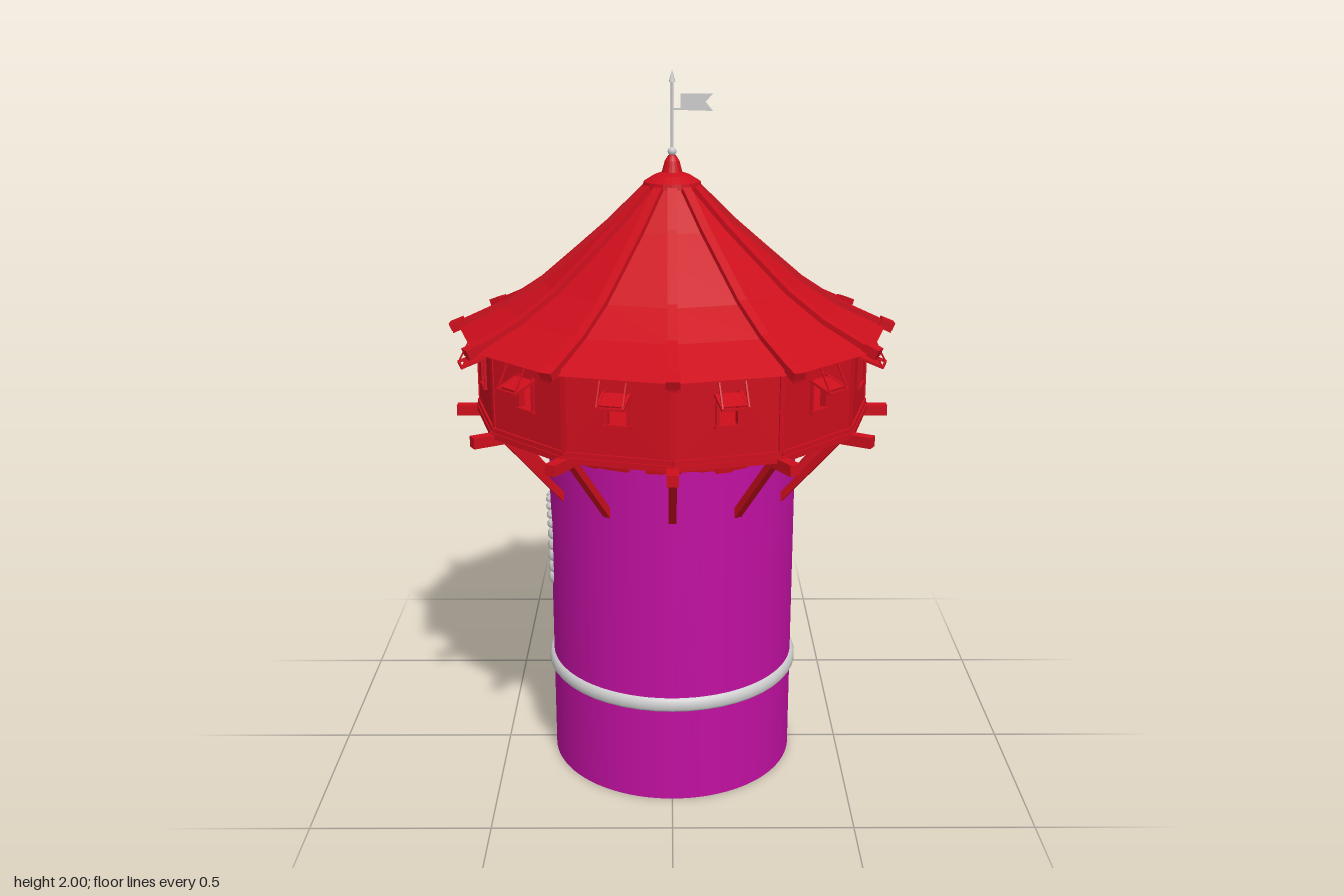
import * as THREE from 'three';

const RED = new THREE.MeshStandardMaterial({ color: 0xcc0e1c, flatShading: true, side: THREE.DoubleSide });
const PURPLE = new THREE.MeshStandardMaterial({ color: 0xc010a0, side: THREE.DoubleSide });
const GREY = new THREE.MeshStandardMaterial({ color: 0xcccccc, side: THREE.DoubleSide });

const SIDES = 12, STEP = Math.PI * 2 / SIDES;
const R = 0.355, R_IN = 0.295, TOP = 1.06;   // tower wall
const GALLERY = 0.55;                        // gallery corner radius
const APOTHEM = GALLERY * Math.cos(STEP / 2);

// Arched niches: angle around the tower and height of the foot
const SPRING = 0.17, ARCH = 0.07, HALF = Math.PI / 18;
const NICHES = [
  { name: 'doorway', a: Math.PI, y: 0 },
  { name: 'backWindow', a: Math.PI, y: 0.55 },
  { name: 'sideWindow', a: Math.PI * 1.5, y: 0.55 },
];

const v2 = (pts) => pts.map(([x, y]) => new THREE.Vector2(x, y));

function add(parent, name, geo, mat, x = 0, y = 0, z = 0) {
  const m = new THREE.Mesh(geo, mat);
  m.name = name;
  m.position.set(x, y, z);
  parent.add(m);
  return m;
}

// Group whose local +z points outwards at angle a
function spoke(parent, name, a) {
  const g = new THREE.Group();
  g.name = name;
  g.rotation.y = a;
  parent.add(g);
  return g;
}

// Bar between two (radius, height) points in a spoke
function bar(parent, name, [r0, y0], [r1, y1], w, h, x = 0, mat = RED) {
  const len = Math.hypot(r1 - r0, y1 - y0);
  const m = add(parent, name, new THREE.BoxGeometry(w, h, len), mat, x, (y0 + y1) / 2, (r0 + r1) / 2);
  m.rotation.x = -Math.atan2(y1 - y0, r1 - r0);
  return m;
}

// Outer wall in narrow columns, leaving the arched openings free
function wallGeometry() {
  const pos = [], nor = [], cols = 144;
  const put = (a, y) => {
    pos.push(Math.sin(a) * R, y, Math.cos(a) * R);
    nor.push(Math.sin(a), 0, Math.cos(a));
  };
  const archTop = (n, a) =>
    n.y + SPRING + ARCH * Math.sqrt(Math.max(0, 1 - ((a - n.a) / HALF) ** 2));
  for (let i = 0; i < cols; i++) {
    const a0 = i / cols * Math.PI * 2, a1 = (i + 1) / cols * Math.PI * 2;
    let lo0 = 0, lo1 = 0;
    const quad = (hi0, hi1) => {
      put(a0, lo0); put(a1, lo1); put(a1, hi1);
      put(a0, lo0); put(a1, hi1); put(a0, hi0);
    };
    for (const n of NICHES) {
      if (Math.abs((a0 + a1) / 2 - n.a) > HALF) continue;
      if (n.y > 0) quad(n.y, n.y);
      lo0 = archTop(n, a0);
      lo1 = archTop(n, a1);
    }
    quad(TOP, TOP);
  }
  const g = new THREE.BufferGeometry();
  g.setAttribute('position', new THREE.Float32BufferAttribute(pos, 3));
  g.setAttribute('normal', new THREE.Float32BufferAttribute(nor, 3));
  return g;
}

function buildTower(root) {
  const tower = new THREE.Group();
  tower.name = 'tower';
  root.add(tower);
  add(tower, 'outerWall', wallGeometry(), PURPLE);
  add(tower, 'innerWall', new THREE.CylinderGeometry(R_IN, R_IN, TOP, 48, 1, true), PURPLE, 0, TOP / 2);
  add(tower, 'wallFoot', new THREE.RingGeometry(R_IN, R, 48).rotateX(Math.PI / 2), PURPLE);

  // Stone band
  const band = v2([[0.35, 0.282], [0.362, 0.282], [0.368, 0.29], [0.368, 0.305], [0.362, 0.318], [0.35, 0.322]]);
  add(tower, 'stoneBand', new THREE.LatheGeometry(band, 48), GREY);

  // Bulging stones around each niche
  const stone = new THREE.LatheGeometry(
    v2([[0, -0.5], [0.8, -0.5], [0.97, -0.25], [1, 0], [0.97, 0.25], [0.8, 0.5], [0, 0.5]]), 10);
  for (const n of NICHES) {
    const g = spoke(tower, n.name, n.a);
    const place = (x, y, tilt, len) => {
      const z = Math.sqrt(R * R - x * x) - 0.022;
      const m = add(g, 'archStone', stone, GREY, x, y, z);
      m.scale.set(0.014, len, 0.035);
      m.rotation.z = tilt;
    };
    const rows = 5, arcs = 9, c = ARCH + 0.004;
    for (const s of [-1, 1])
      for (let i = 0; i < rows; i++) place(s * c, n.y + (i + 0.5) * SPRING / rows, 0, SPRING / rows);
    for (let i = 0; i < arcs; i++) {
      const t = (i + 0.5) / arcs * Math.PI;
      place(Math.cos(t) * c, n.y + SPRING + Math.sin(t) * c, t, c * Math.PI / arcs);
    }
    const sill = new THREE.RingGeometry(R_IN, R, 8, 1, -Math.PI / 2 - HALF, HALF * 2).rotateX(-Math.PI / 2);
    add(g, 'sill', sill, PURPLE, 0, n.y, 0);
  }
}

function buildGallery(root) {
  const gallery = new THREE.Group();
  gallery.name = 'gallery';
  root.add(gallery);
  add(gallery, 'floor', new THREE.CylinderGeometry(0.56, 0.56, 0.016, SIDES), RED, 0, 1.066);

  // Uneven plank collar below the floor
  const planks = 48;
  for (let i = 0; i < planks; i++) {
    const low = 0.985 + 0.012 * Math.sin(i * 2.3) * Math.cos(i * 0.9);
    bar(spoke(gallery, 'collarPlank', i / planks * Math.PI * 2), 'plank', [0.358, low], [0.372, 1.058], 0.047, 0.008);
  }

  // Wall panel with a window hole
  const w = GALLERY * Math.sin(STEP / 2);
  const panel = new THREE.Shape(v2([[-w, 1.07], [w, 1.07], [w, 1.318], [-w, 1.318]]));
  panel.holes.push(new THREE.Path(v2([[-0.024, 1.17], [-0.024, 1.25], [0.024, 1.25], [0.024, 1.17]])));
  const panelGeo = new THREE.ExtrudeGeometry(panel, { depth: 0.012, bevelEnabled: false });

  for (let i = 0; i < SIDES; i++) {
    const side = spoke(gallery, 'galleryBay', (i + 0.5) * STEP);
    add(side, 'wallPanel', panelGeo, RED, 0, 0, APOTHEM - 0.012);
    add(side, 'footRail', new THREE.BoxGeometry(w * 2, 0.014, 0.012), RED, 0, 1.08, APOTHEM);
    // Window frame and propped shutter
    for (const s of [-1, 1]) {
      add(side, 'windowJamb', new THREE.BoxGeometry(0.008, 0.096, 0.01), RED, s * 0.028, 1.21, APOTHEM + 0.002);
      bar(side, 'shutterStile', [0.532, 1.252], [0.6, 1.228], 0.007, 0.007, s * 0.034);
      bar(side, 'shutterCord', [0.598, 1.228], [0.565, 1.29], 0.004, 0.004, s * 0.034);
    }
    add(side, 'windowSill', new THREE.BoxGeometry(0.07, 0.008, 0.014), RED, 0, 1.166, APOTHEM + 0.004);
    bar(side, 'shutter', [0.535, 1.251], [0.588, 1.232], 0.062, 0.004);
    add(side, 'shutterRail', new THREE.BoxGeometry(0.075, 0.006, 0.006), RED, 0, 1.228, 0.598);

    // Corner post, floor beam and slanted brace
    const corner = spoke(gallery, 'galleryCorner', i * STEP);
    bar(corner, 'cornerPost', [GALLERY - 0.004, 1.07], [GALLERY - 0.004, 1.315], 0.014, 0.012);
    bar(corner, 'floorBeam', [0.3, 1.055], [0.615, 1.055], 0.03, 0.03);
    bar(corner, 'brace', [0.345, 0.845], [0.52, 1.05], 0.022, 0.02);
  }
}

function buildRoof(root) {
  const roof = new THREE.Group();
  roof.name = 'roof';
  root.add(roof);
  const curve = [[0.6, 1.298], [0.465, 1.362], [0.36, 1.43], [0.254, 1.52], [0.175, 1.588], [0.07, 1.69]];
  add(roof, 'roofSkin', new THREE.LatheGeometry(v2(curve), SIDES), RED);

  // Ribs following the roof curve
  const upper = [[0.62, 1.305], ...curve.slice(1).map(([r, y]) => [r + 0.003, y + 0.012])];
  const lower = [[0.615, 1.282], ...curve.slice(1).map(([r, y]) => [r - 0.004, y - 0.012])].reverse();
  const ribGeo = new THREE.ExtrudeGeometry(new THREE.Shape(v2([...upper, ...lower])), { depth: 0.026, bevelEnabled: false });
  ribGeo.translate(0, 0, -0.013).rotateY(-Math.PI / 2);
  for (let i = 0; i < SIDES; i++) {
    add(spoke(roof, 'roofRib', i * STEP), 'rib', ribGeo, RED);
    bar(spoke(roof, 'ribEnd', i * STEP), 'ribTip', [0.585, 1.315], [0.622, 1.3], 0.036, 0.022);
  }

  // Cap and finial
  const cap = v2([[0, 1.685], [0.08, 1.69], [0.078, 1.705], [0.05, 1.722], [0.028, 1.73], [0.02, 1.76], [0.01, 1.775], [0, 1.775]]);
  add(roof, 'roofCap', new THREE.LatheGeometry(cap, 20), RED);
  add(roof, 'poleBall', new THREE.SphereGeometry(0.012, 14, 10), GREY, 0, 1.785);
  add(roof, 'flagPole', new THREE.CylinderGeometry(0.0035, 0.0045, 0.2, 8), GREY, 0, 1.88);
  add(roof, 'poleTip', new THREE.ConeGeometry(0.009, 0.032, 8), GREY, 0, 1.984);
  const flag = new THREE.Shape(v2([[0, 1.895], [0.11, 1.892], [0.09, 1.916], [0.11, 1.938], [0.022, 1.938], [0.022, 1.9], [0, 1.9]]));
  add(roof, 'flag', new THREE.ExtrudeGeometry(flag, { depth: 0.004, bevelEnabled: false }), GREY, 0, 0, -0.002);
}

export function createModel() {
  const root = new THREE.Group();
  root.name = 'waterTower';
  buildTower(root);
  buildGallery(root);
  buildRoof(root);
  return root;
}
